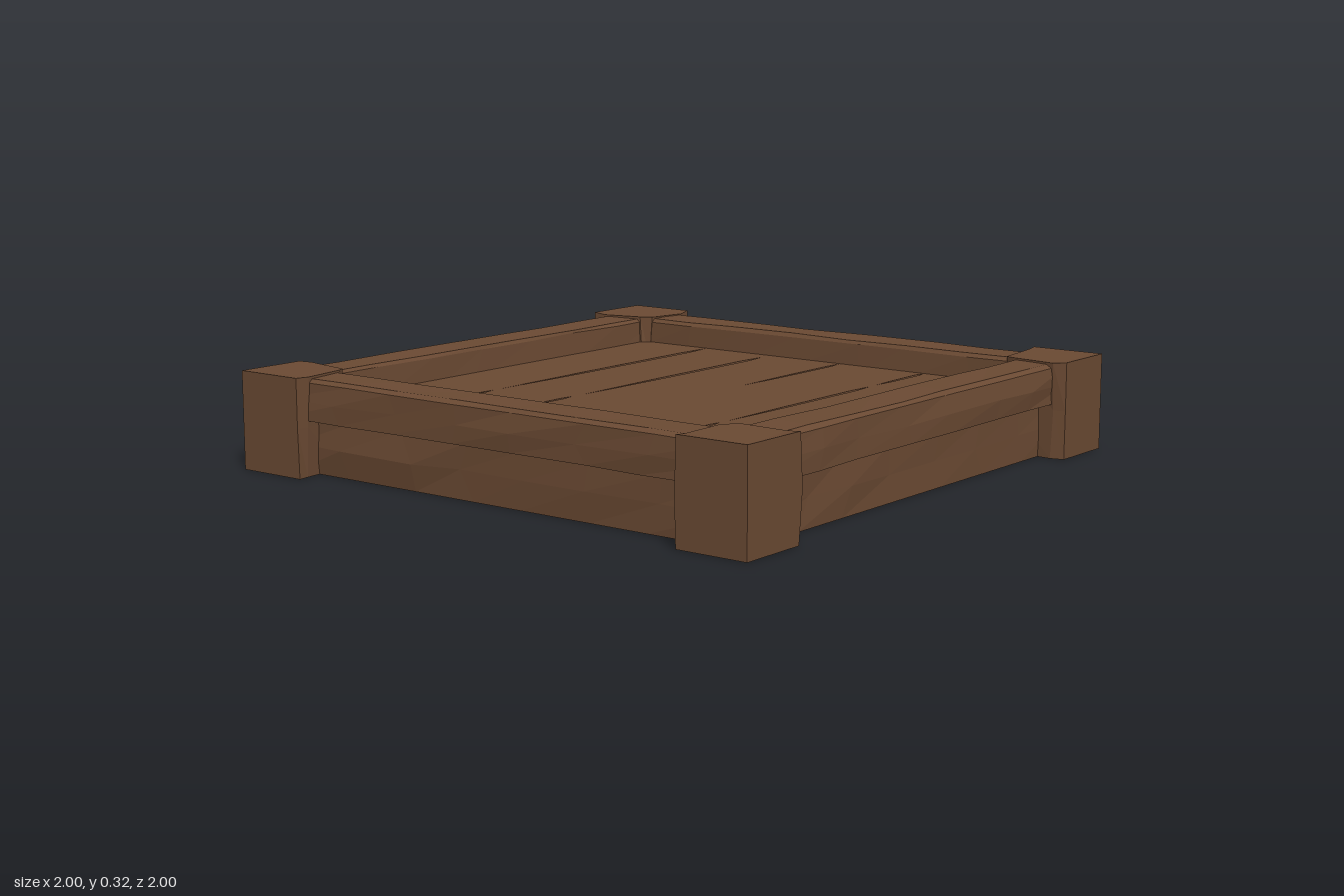
import * as THREE from 'three';

// Small repeatable offset in -1..1, used for the hand-hewn unevenness
const wobble = (a, b, c) => {
  const s = Math.sin(a * 12.99 + b * 78.23 + c * 37.72) * 43758.55;
  return (s - Math.floor(s)) * 2 - 1;
};

function fromTriangles(points) {
  const g = new THREE.BufferGeometry();
  g.setAttribute('position', new THREE.Float32BufferAttribute(points, 3));
  g.computeVertexNormals();
  return g;
}

// Rail along x, outward +z: stepped cross-section swept with slight wobble
function railGeometry(seed) {
  const profile = [ // z, y, wobble amount
    [0.8, 0, 0], [0.905, 0, 0], [0.91, 0.09, 0.008], [0.905, 0.18, 0.003], [0.955, 0.18, 0.003],
    [0.955, 0.24, 0.006], [0.95, 0.3, 0.004], [0.935, 0.312, 0.003],
    [0.805, 0.312, 0.003], [0.795, 0.3, 0.004], [0.79, 0.19, 0],
  ];
  const steps = 7, half = 0.86, pts = [];
  const at = (i, j) => {
    const [z, y, w] = profile[j % profile.length];
    const inner = i > 0 && i < steps ? 0.04 * wobble(i, seed, j) : 0;
    return [-half + 2 * half * i / steps + inner,
      y + w * wobble(i, j, seed) * 0.6, z + w * wobble(j, seed, i)];
  };
  for (let i = 0; i < steps; i++) {
    for (let j = 0; j < profile.length; j++) {
      const a = at(i, j), b = at(i + 1, j), c = at(i + 1, j + 1), d = at(i, j + 1);
      pts.push(...a, ...b, ...c, ...a, ...c, ...d);
    }
  }
  return fromTriangles(pts);
}

// Corner post with its inward corner cut off
function postGeometry(seed) {
  const s = new THREE.Shape([[1, -1], [1, -0.75], [0.955, -0.745], [0.79, -0.765],
    [0.765, -0.79], [0.745, -0.955], [0.75, -1]].map(p => new THREE.Vector2(...p)));
  let g = new THREE.ExtrudeGeometry(s, { depth: 0.322, steps: 2, bevelEnabled: false });
  g.rotateX(-Math.PI / 2);
  if (g.index) g = g.toNonIndexed();
  const p = g.attributes.position;
  for (let i = 0; i < p.count; i++) {
    const x = p.getX(i), y = p.getY(i), z = p.getZ(i);
    const k = n => wobble(Math.round(x * 100), Math.round(y * 100) + n, Math.round(z * 100) + seed);
    if (x < 0.99) p.setX(i, x + 0.008 * k(1));
    if (z < 0.99) p.setZ(i, z + 0.008 * k(2));
    if (y > 0.3 && x < 0.99 && z < 0.99) p.setY(i, y - 0.004 + 0.003 * k(3));
  }
  g.computeVertexNormals();
  return g;
}

export function createModel() {
  const model = new THREE.Group();
  model.name = 'woodenTray';
  const wood = new THREE.MeshStandardMaterial({ color: 0x6b4a33 });
  wood.name = 'brownWood';
  const add = (name, geometry, turn = 0) => {
    const m = new THREE.Mesh(geometry, wood);
    m.name = name;
    m.rotation.y = turn;
    model.add(m);
  };

  // Frame
  ['front', 'left', 'back', 'right'].forEach((side, i) => {
    add(side + 'Rail', railGeometry(i + 1), i * Math.PI / 2);
    add('cornerPost' + (i + 1), postGeometry(i + 1), i * Math.PI / 2);
  });

  // Underside slab
  const base = new THREE.BoxGeometry(1.62, 0.15, 1.62);
  base.translate(0, 0.075, 0);
  add('base', base);

  // Plank floor with tapered V-shaped cracks: x, start z, end z, half width
  const cracks = [
    [-0.5, -0.785, 0.35, 0.009], [-0.5, 0.36, 0.7, 0.004],
    [-0.215, -0.75, 0.25, 0.009], [-0.218, 0.29, 0.775, 0.006],
    [0.09, -0.785, -0.21, 0.006],
    [0.435, -0.785, -0.49, 0.007], [0.437, -0.45, 0.35, 0.007], [0.435, 0.37, 0.74, 0.006],
  ];
  const floorY = 0.225, depth = 0.05, edge = 0.81;
  const floor = new THREE.Shape([[-edge, -edge], [edge, -edge], [edge, edge], [-edge, edge]]
    .map(p => new THREE.Vector2(...p)));
  const walls = [];
  for (const [x, z0, z1, w] of cracks) {
    const z = t => z0 + (z1 - z0) * t;
    const rim = side => [[x, z(0)], [x + side * w, z(0.12)], [x + side * w * 0.8, z(0.6)], [x, z(1)]];
    const left = rim(-1), right = rim(1);
    const loop = [...left, right[2], right[1]];
    floor.holes.push(new THREE.Path(loop.map(([a, b]) => new THREE.Vector2(a, -b))));
    for (let i = 0; i < 3; i++) {
      const low = k => [x, floorY - depth, left[k][1]];
      const up = (r, k) => [r[k][0], floorY, r[k][1]];
      walls.push(...up(left, i), ...up(left, i + 1), ...low(i + 1), ...up(left, i), ...low(i + 1), ...low(i));
      walls.push(...up(right, i + 1), ...up(right, i), ...low(i), ...up(right, i + 1), ...low(i), ...low(i + 1));
    }
  }
  const floorGeometry = new THREE.ShapeGeometry(floor);
  floorGeometry.rotateX(-Math.PI / 2);
  floorGeometry.translate(0, floorY, 0);
  add('plankFloor', floorGeometry);
  add('floorCracks', fromTriangles(walls));
  return model;
}
